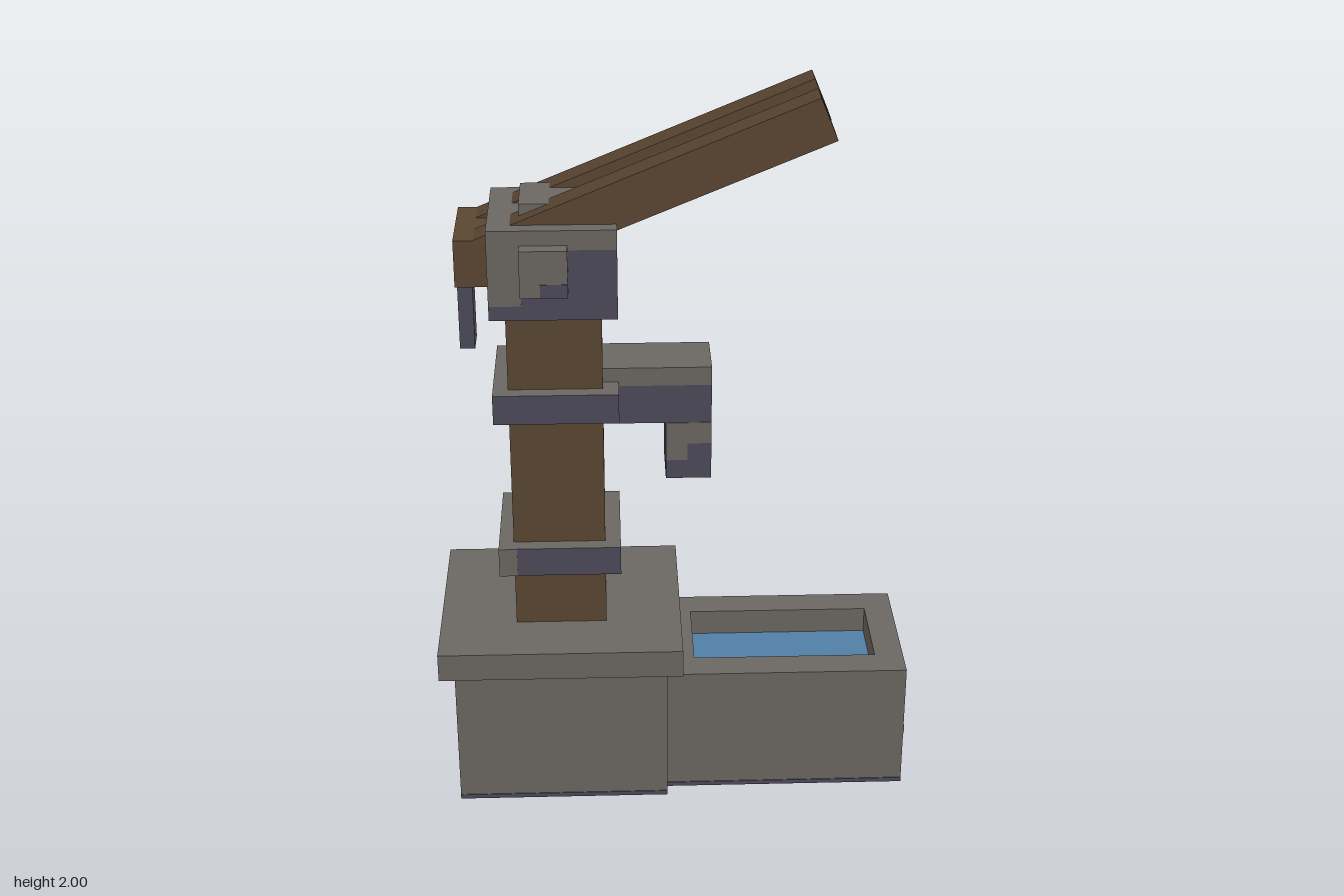
import * as THREE from 'three';

const mat = (name, color, side = THREE.FrontSide) => {
  const m = new THREE.MeshStandardMaterial({ color, side });
  m.name = name;
  return m;
};

export function createModel() {
  const stone = mat('stone', 0x6b6761, THREE.DoubleSide);
  const metal = mat('metal', 0x4b4a58);
  const wood = mat('wood', 0x5a4632);
  const water = mat('water', 0x4f7fa6);
  const capped = [metal, metal, stone, metal, metal, metal]; // metal block, worn grey top

  const model = new THREE.Group();
  model.name = 'waterPump';

  const add = (name, geometry, material) => {
    const mesh = new THREE.Mesh(geometry, material);
    mesh.name = name;
    model.add(mesh);
    return mesh;
  };
  // Box given by its extents on each axis
  const box = (name, material, [x0, x1], [y0, y1], [z0, z1]) => {
    const mesh = add(name, new THREE.BoxGeometry(x1 - x0, y1 - y0, z1 - z0), material);
    mesh.position.set((x0 + x1) / 2, (y0 + y1) / 2, (z0 + z1) / 2);
    return mesh;
  };
  const both = (v) => [-v, v];
  // Open-bottomed hollow box: drops the listed faces (+x -x +y -y +z -z)
  const hollow = (name, material, xs, ys, zs, dropped) => {
    const mesh = box(name, material, xs, ys, zs);
    const index = Array.from(mesh.geometry.index.array);
    mesh.geometry.setIndex(index.filter((_, i) => !dropped.includes(Math.floor(i / 6))));
    mesh.geometry.clearGroups();
    return mesh;
  };
  // Thin painted patch on a +z or -z surface
  const patch = (name, material, xs, ys, z) =>
    box(name, material, xs, ys, z > 0 ? [z - 0.001, z + 0.002] : [z - 0.002, z + 0.001]);

  // Pedestal
  hollow('pedestal', stone, [-0.61, -0.025], [0, 0.425], both(0.25), [3]);
  box('pedestalSlab', stone, [-0.65, 0.017], [0.423, 0.503], both(0.294));

  // Trough: a skirt below, a thick rim above, floor and water between
  hollow('troughSkirt', stone, [-0.025, 0.645], [0, 0.2], both(0.21), [2, 3]);
  const rim = new THREE.Shape();
  rim.moveTo(-0.025, -0.21).lineTo(0.645, -0.21).lineTo(0.645, 0.21).lineTo(-0.025, 0.21).closePath();
  const hole = new THREE.Path();
  hole.moveTo(0.055, -0.125).lineTo(0.055, 0.125).lineTo(0.565, 0.125).lineTo(0.565, -0.125).closePath();
  rim.holes.push(hole);
  const rimMesh = add('troughRim',
    new THREE.ExtrudeGeometry(rim, { depth: 0.175, bevelEnabled: false }), stone);
  rimMesh.rotation.x = -Math.PI / 2;
  rimMesh.position.y = 0.2;
  box('troughFloor', stone, [0.055, 0.565], [0.2, 0.22], both(0.125));
  box('water', water, [0.055, 0.565], [0.22, 0.3], both(0.125));

  // Dark streaks on the trough
  for (const [z0, z1] of [[0.1, 0.208], [-0.208, 0.02]]) {
    box('troughStreak', metal, [0.644, 0.647], [0.162, 0.187], [z0, z1]);
  }
  for (const [x0, x1] of [[0.05, 0.23], [0.36, 0.57]]) {
    patch('troughStreak', metal, [x0, x1], [0.162, 0.19], -0.21);
  }
  patch('pedestalFootLine', metal, [-0.61, -0.025], [0, 0.013], 0.25);
  patch('troughFootLine', metal, [-0.025, 0.645], [0, 0.013], 0.21);

  // Post and its bands
  box('post', wood, [-0.44, -0.19], [0.5, 1.435], both(0.125));
  for (const y of [0.675, 1.133]) {
    box('postBand', capped, [-0.48, -0.148], [y, y + 0.083], both(0.165));
  }
  patch('bandWear', stone, [-0.48, -0.43], [0.675, 0.758], 0.165);

  // Spout
  box('spoutArm', capped, [-0.19, 0.1], [1.092, 1.255], both(0.082));
  box('spoutMouth', metal, [-0.023, 0.1], [0.925, 1.092], both(0.082));
  patch('spoutWear', stone, [-0.19, 0.1], [1.203, 1.255], 0.082);
  patch('mouthWear', stone, [-0.023, 0.035], [0.98, 1.092], 0.082);
  patch('mouthWear', stone, [0.035, 0.1], [1.03, 1.092], 0.082);

  // Head with side bosses and top cap
  box('head', capped, [-0.48, -0.148], [1.43, 1.675], both(0.165));
  patch('headWear', stone, [-0.48, -0.148], [1.622, 1.675], 0.165);
  patch('headWear', stone, [-0.48, -0.395], [1.47, 1.622], 0.165);
  box('frontBoss', stone, [-0.397, -0.274], [1.508, 1.635], [0.16, 0.207]);
  patch('bossWear', metal, [-0.345, -0.274], [1.508, 1.545], 0.207);
  box('backBoss', capped, [-0.397, -0.274], [1.508, 1.635], [-0.207, -0.16]);
  box('headCap', stone, [-0.398, -0.235], [1.67, 1.716], both(0.082));

  // Twin handle bars, tilted upward
  const tilt = Math.PI / 8, length = 0.95;
  for (const side of [-1, 1]) {
    const bar = add('handleBar', new THREE.BoxGeometry(length, 0.12, 0.084), wood);
    bar.rotation.z = tilt;
    bar.position.set(
      0.386 - Math.cos(tilt) * length / 2,
      1.944 - Math.sin(tilt) * length / 2,
      side * 0.083);
  }

  // Counterweight block with hanging rod
  box('counterweight', wood, [-0.566, -0.47], [1.508, 1.635], both(0.125));
  box('hangingRod', metal, [-0.566, -0.526], [1.3, 1.51], both(0.042));

  return model;
}
